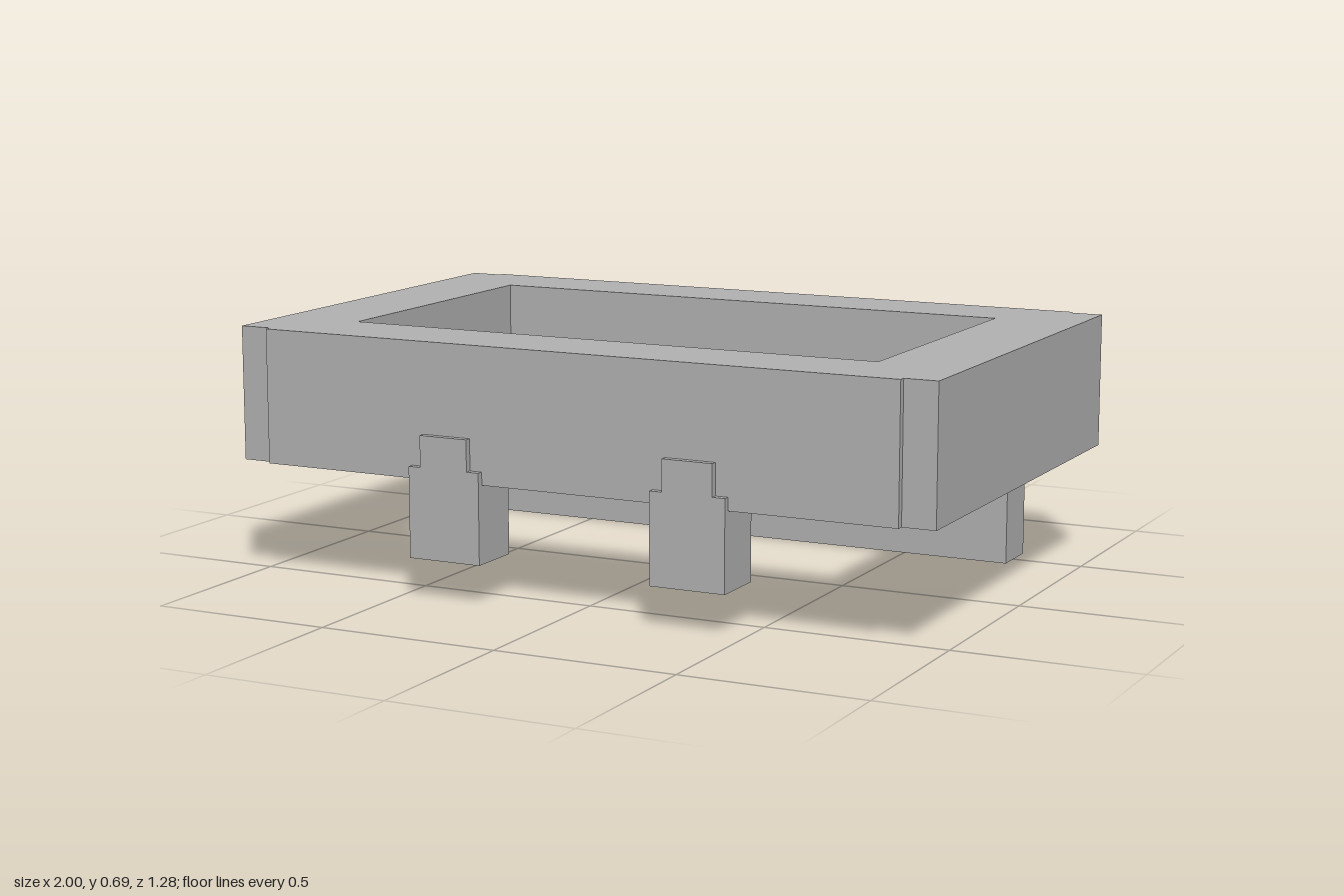
import * as THREE from 'three';

const grey = new THREE.MeshStandardMaterial({ color: 0xb2b2b2 });
grey.name = 'plain grey';

function polygon(points) {
  return points.map(([x, y]) => new THREE.Vector2(x, y));
}

function extruded(name, shape, depth) {
  const mesh = new THREE.Mesh(
    new THREE.ExtrudeGeometry(shape, { depth, bevelEnabled: false }), grey);
  mesh.name = name;
  return mesh;
}

export function createModel() {
  const model = new THREE.Group();
  model.name = 'rectangularFrame';

  // Frame with notched corners and an open centre, extruded downwards
  const outline = new THREE.Shape(polygon([
    [-1, -0.625], [-0.91, -0.625], [-0.91, -0.64], [0.91, -0.64],
    [0.91, -0.625], [1, -0.625], [1, 0.603], [0.91, 0.603],
    [0.91, 0.622], [-0.91, 0.622], [-0.91, 0.603], [-1, 0.603],
  ]));
  outline.holes.push(new THREE.Path(polygon([
    [-0.763, -0.43], [-0.763, 0.4], [0.76, 0.4], [0.76, -0.43],
  ])));
  const frame = extruded('frame', outline, 0.365);
  frame.rotation.x = Math.PI / 2;
  frame.position.y = 0.685;
  model.add(frame);

  // Long support rail under the back
  const rail = new THREE.Mesh(new THREE.BoxGeometry(1.61, 0.32, 0.14), grey);
  rail.name = 'backRail';
  rail.position.set(-0.002, 0.16, -0.51);
  model.add(rail);

  // Two front feet, each with a narrower tab on the frame's face
  for (const [name, x] of [['leftFoot', 0.35], ['rightFoot', -0.355]]) {
    const foot = extruded(name, new THREE.Shape(polygon([
      [-0.105, 0.11], [0.105, 0.11], [0.105, 0.355], [0.07, 0.355],
      [0.07, 0.44], [-0.07, 0.44], [-0.07, 0.355], [-0.105, 0.355],
    ])), 0.155);
    foot.position.set(x, 0, 0.485);
    model.add(foot);
  }
  return model;
}
